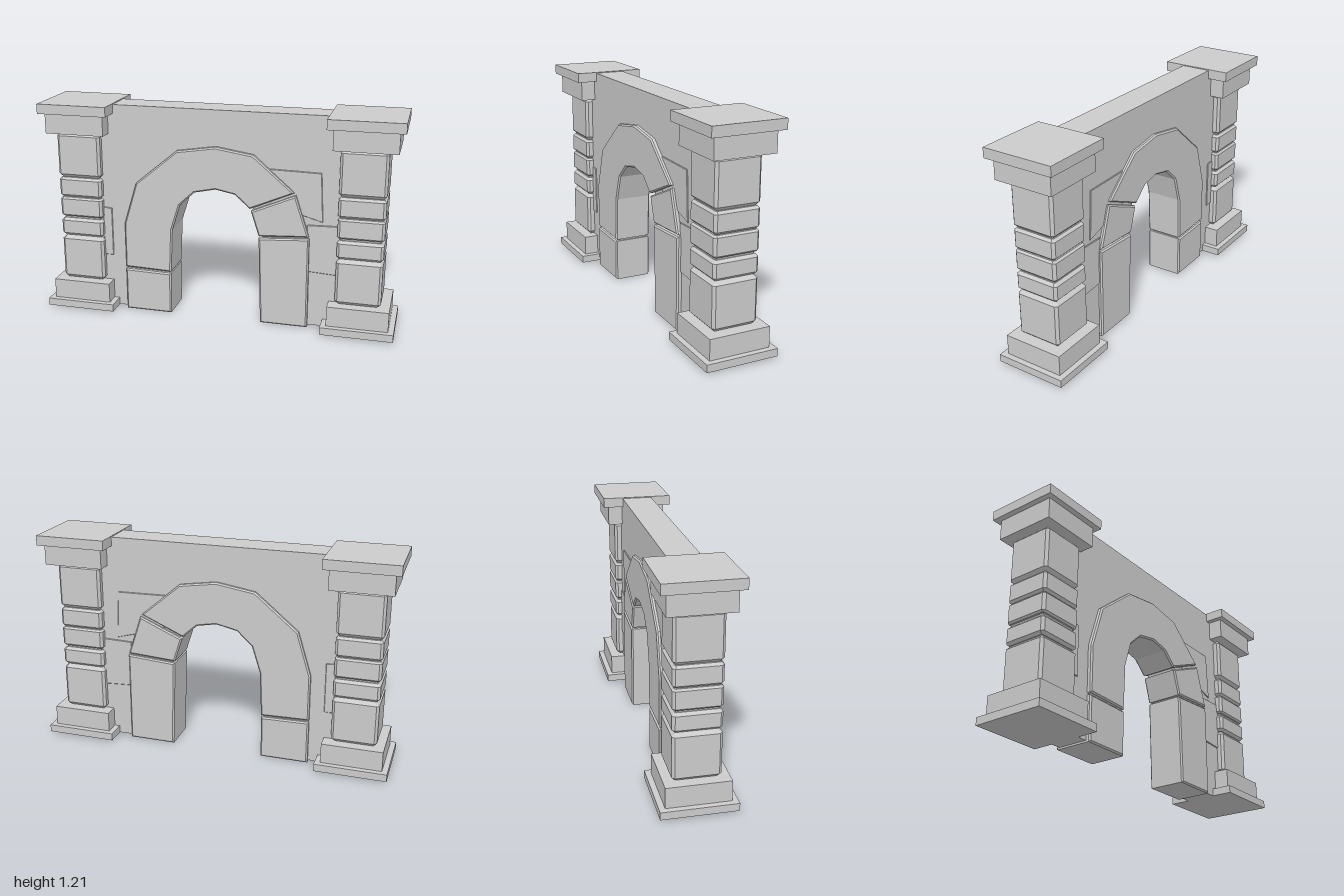
import * as THREE from 'three';

const stone = new THREE.MeshStandardMaterial({ color: 0xcccccc, flatShading: true });

function add(parent, geometry, name, x = 0, y = 0, z = 0) {
  const mesh = new THREE.Mesh(geometry, stone);
  mesh.name = name;
  mesh.position.set(x, y, z);
  parent.add(mesh);
  return mesh;
}

// Extrudes an outline from z0 to z1, with chamfered rims kept inside the outline
function slab(points, z0, z1, bevel = 0) {
  const shape = new THREE.Shape(points.map(([x, y]) => new THREE.Vector2(x, y)));
  const geometry = new THREE.ExtrudeGeometry(shape, {
    depth: z1 - z0 - 2 * bevel, bevelEnabled: bevel > 0, bevelSize: bevel,
    bevelThickness: bevel, bevelOffset: -bevel, bevelSegments: 1,
  });
  return geometry.translate(0, 0, z0 + bevel);
}

// Square block with cut corners and chamfered top and bottom
function pillarBlock(half, height, bevel) {
  const c = half - 0.014;
  const outline = [[half, -c], [half, c], [c, half], [-c, half],
    [-half, c], [-half, -c], [-c, -half], [c, -half]];
  return slab(outline, 0, height, bevel).rotateX(-Math.PI / 2);
}

function pillar(name, x, shaftX) {
  const group = new THREE.Group();
  group.name = name;
  group.position.x = x;
  const box = (label, half, y0, y1) =>
    add(group, new THREE.BoxGeometry(half * 2, y1 - y0, half * 2), label, 0, (y0 + y1) / 2);
  box('foot', 0.2, 0.01, 0.052);
  box('base', 0.169, 0.052, 0.165);
  box('neck', 0.169, 1.04, 1.155);
  box('cap', 0.2, 1.155, 1.21);
  // Shaft: stacked blocks around a narrower core
  add(group, new THREE.BoxGeometry(0.212, 0.88, 0.212), 'core', shaftX, 0.6);
  const courses = [[0.163, 0.43, 0.022], [0.43, 0.535, 0.015], [0.547, 0.66, 0.01],
    [0.664, 0.778, 0.013], [0.777, 1.042, 0.022]];
  for (const [y0, y1, bevel] of courses)
    add(group, pillarBlock(0.126, y1 - y0, bevel), 'shaftBlock', shaftX, y0);
  return group;
}

export function createModel() {
  const model = new THREE.Group();
  model.name = 'archway';
  model.add(pillar('rightPillar', -0.8, 0), pillar('leftPillar', 0.8, -0.007));

  // Wall, its opening tucked just behind the arch stones
  const opening = [[0.265, 0.01], [0.25, 0.52], [0.2, 0.675], [0.11, 0.757], [-0.01, 0.778],
    [-0.14, 0.752], [-0.227, 0.67], [-0.278, 0.51], [-0.288, 0.01]];
  add(model, slab([[-0.7, 0.01], [-0.7, 1.205], [0.7, 1.205], [0.7, 0.01], ...opening],
    -0.086, 0.086), 'wall');

  // Arch stones
  const stones = {
    rightPierFoot: [[-0.545, 0], [-0.275, 0], [-0.273, 0.245], [-0.545, 0.25]],
    archCrown: [[-0.545, 0.262], [-0.273, 0.255], [-0.262, 0.51], [-0.215, 0.66], [-0.13, 0.74],
      [-0.01, 0.766], [0.1, 0.745], [0.183, 0.67], [0.427, 0.778], [0.2, 0.973], [-0.01, 1.005],
      [-0.23, 0.97], [-0.47, 0.77], [-0.545, 0.525]],
    leftArchStone: [[0.19, 0.658], [0.235, 0.517], [0.512, 0.535], [0.436, 0.765]],
    leftPier: [[0.25, 0], [0.517, 0], [0.515, 0.525], [0.235, 0.506]],
  };
  for (const [name, outline] of Object.entries(stones))
    add(model, slab(outline, -0.106, 0.111, 0.008), name);

  // Shallow bricks standing out on both wall faces
  const bricks = [
    [[0.29, 0.9], [0.3, 0.7], [0.585, 0.62], [0.57, 0.895]],
    [[0.5, 0.33], [0.68, 0.32], [0.68, 0.605], [0.5, 0.6]],
    [[-0.68, 0.32], [-0.625, 0.32], [-0.625, 0.605], [-0.68, 0.61]],
  ];
  for (const outline of bricks) add(model, slab(outline, -0.091, 0.091, 0.003), 'wallBrick');

  return model;
}
